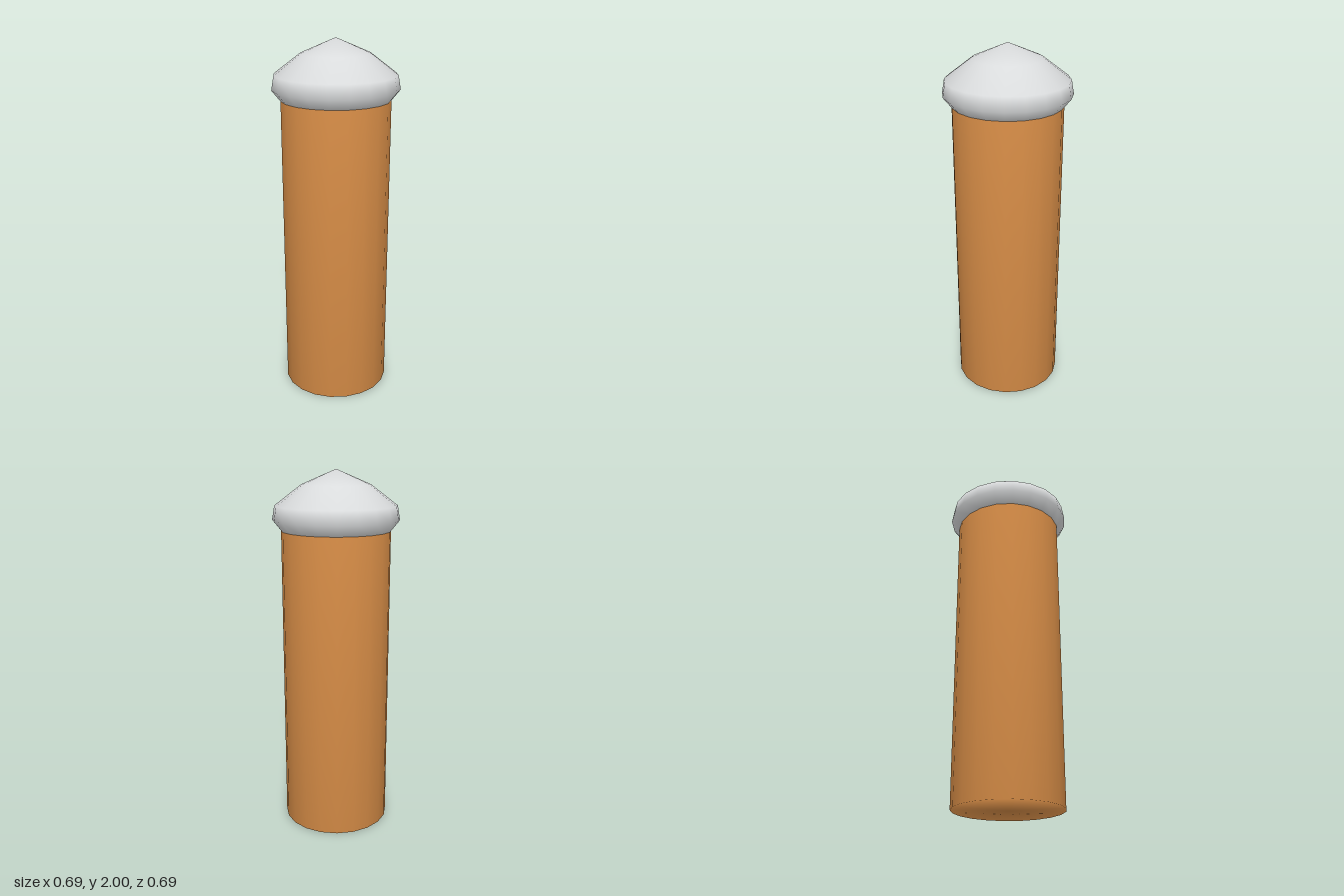
import * as THREE from 'three';

const SIDES = 20;

// Smooth turned solid from a [radius, height] profile, listed bottom to top
function turned(name, profile, material) {
  const geometry = new THREE.LatheGeometry(profile.map(([r, y]) => new THREE.Vector2(r, y)), SIDES);
  // Points on the axis get a straight vertical normal so the tip shades smoothly
  const { position, normal } = geometry.attributes;
  for (let i = 0; i < position.count; i++) {
    if (Math.hypot(position.getX(i), position.getZ(i)) < 1e-5) {
      normal.setXYZ(i, 0, position.getY(i) > 1 ? 1 : -1, 0);
    }
  }
  const mesh = new THREE.Mesh(geometry, material);
  mesh.name = name;
  return mesh;
}

export function createModel() {
  const orange = new THREE.MeshStandardMaterial({ color: 0xdd9149 });
  orange.name = 'orange';
  const paleGrey = new THREE.MeshStandardMaterial({ color: 0xd9dbdc });
  paleGrey.name = 'pale grey';

  const model = new THREE.Group();
  model.name = 'cappedPost';

  // Post, closed at the base
  model.add(turned('post', [[0, 0], [0.298, 0], [0.298, 1.68]], orange));

  // Domed cap with an overhanging rim and a pointed top
  model.add(turned('cap', [
    [0.298, 1.677], [0.345, 1.735], [0.332, 1.81], [0.187, 1.92], [0, 2],
  ], paleGrey));

  return model;
}
